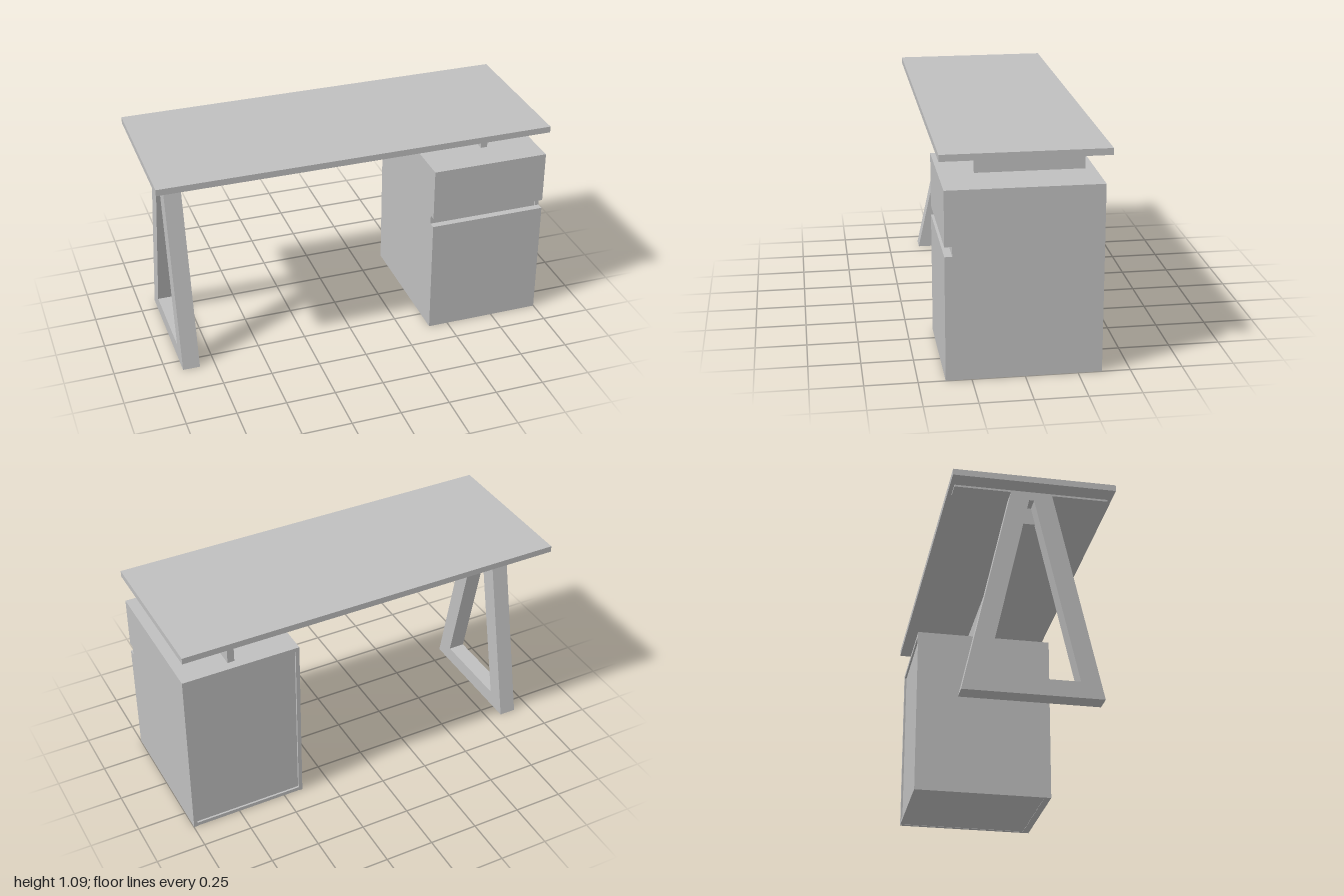
import * as THREE from 'three';

export function createModel() {
  const desk = new THREE.Group();
  desk.name = 'desk';
  const grey = new THREE.MeshStandardMaterial({ color: 0xbfbfbf });
  grey.name = 'light grey';

  const add = (parent, name, geometry) => {
    const mesh = new THREE.Mesh(geometry, grey);
    mesh.name = name;
    parent.add(mesh);
    return mesh;
  };
  // Box given by its limits on each axis
  const box = (parent, name, [x0, x1], [y0, y1], [z0, z1]) => {
    const mesh = add(parent, name, new THREE.BoxGeometry(x1 - x0, y1 - y0, z1 - z0));
    mesh.position.set((x0 + x1) / 2, (y0 + y1) / 2, (z0 + z1) / 2);
    return mesh;
  };
  const group = (name) => {
    const g = new THREE.Group();
    g.name = name;
    desk.add(g);
    return g;
  };

  box(desk, 'tabletop', [-1, 1], [1.055, 1.087], [-0.393, 0.393]);

  // Tapered frame leg with a triangular opening
  const leg = group('frameLeg');
  const legTop = 1.046;
  const outline = new THREE.Shape([
    new THREE.Vector2(-0.33, 0), new THREE.Vector2(0.33, 0),
    new THREE.Vector2(0.1, legTop), new THREE.Vector2(-0.1, legTop),
  ]);
  outline.holes.push(new THREE.Path([
    new THREE.Vector2(-0.218, 0.08), new THREE.Vector2(-0.012, 1.01),
    new THREE.Vector2(0.012, 1.01), new THREE.Vector2(0.218, 0.08),
  ]));
  const frame = add(leg, 'legFrame',
    new THREE.ExtrudeGeometry(outline, { depth: 0.087, bevelEnabled: false }));
  frame.rotation.y = Math.PI / 2;
  frame.position.x = -0.915;
  box(leg, 'legMountingPlate', [-0.915, -0.828], [1.045, 1.055], [-0.373, 0.373]);

  // Long rail and the cross beam over the cabinet
  const support = group('support');
  box(support, 'rail', [-0.84, 0.715], [0.923, 1.055], [-0.04, 0.04]);
  box(support, 'crossBeam', [0.715, 0.75], [0.921, 1.055], [-0.318, 0.204]);
  for (const side of [-1, 1]) {
    for (const y of [0.958, 1.02]) {
      const bolt = add(support, 'bolt', new THREE.CylinderGeometry(0.014, 0.014, 0.004, 20));
      bolt.rotation.x = Math.PI / 2;
      bolt.position.set(0.682, y, side * 0.041);
    }
  }

  // Cabinet carcass with recessed back and inner front
  const cabinet = group('cabinet');
  const depth = [-0.364, 0.336];
  box(cabinet, 'rightSide', [0.398, 0.418], [0, 0.9], depth);
  box(cabinet, 'leftSide', [0.979, 0.999], [0, 0.9], depth);
  box(cabinet, 'cabinetTop', [0.398, 0.999], [0.9, 0.921], depth);
  box(cabinet, 'cabinetBottom', [0.418, 0.979], [0.002, 0.022], depth);
  box(cabinet, 'backPanel', [0.418, 0.979], [0.022, 0.9], [-0.354, -0.338]);
  box(cabinet, 'innerFront', [0.418, 0.979], [0.022, 0.9], [0.31, 0.325]);

  // Drawer and door fronts with the finger gap between them
  box(cabinet, 'drawerFront', [0.398, 0.999], [0.655, 0.921], [0.336, 0.372]);
  box(cabinet, 'doorFront', [0.398, 0.999], [0, 0.608], [0.336, 0.372]);

  return desk;
}
